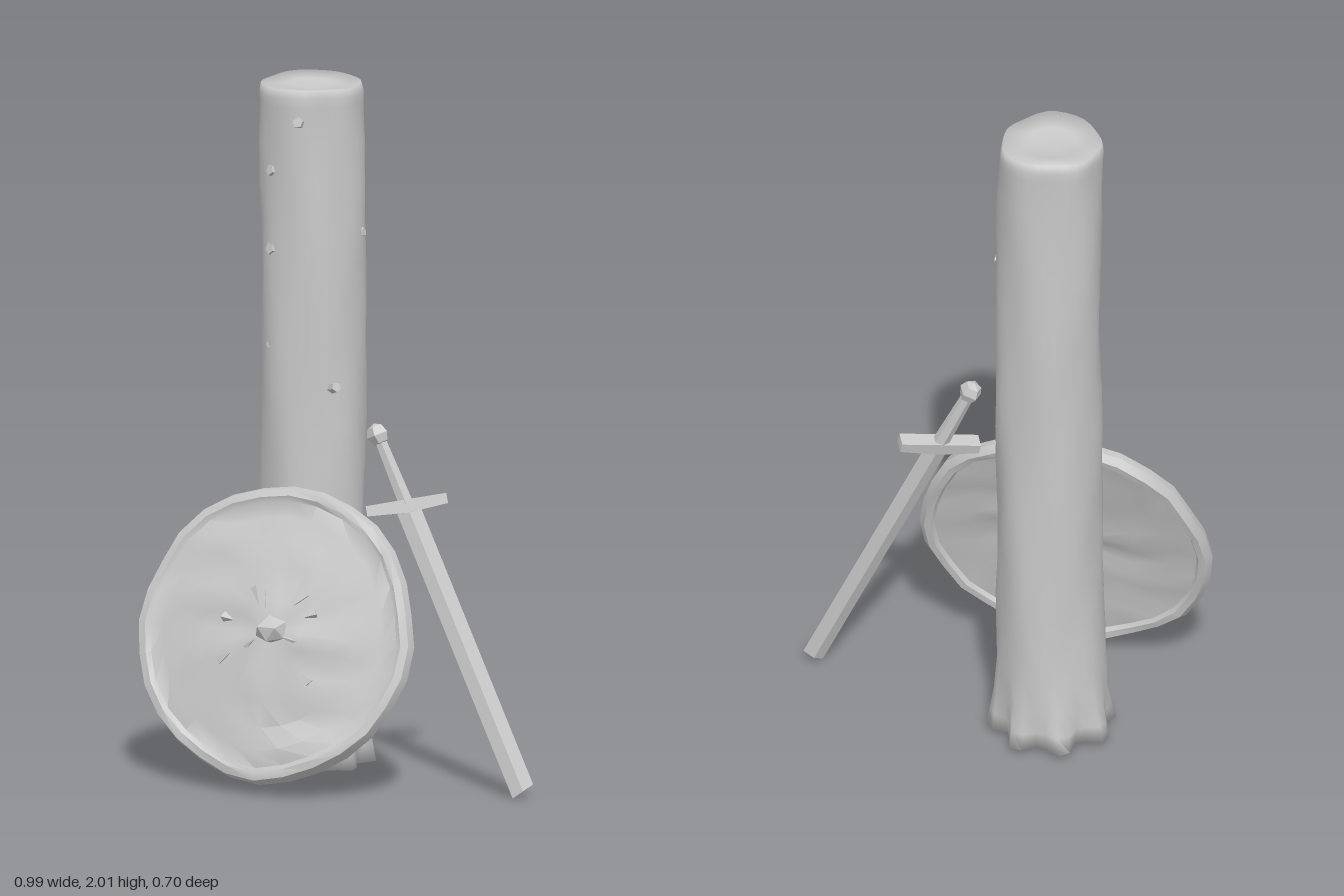
import * as THREE from 'three';
import { mergeVertices, toCreasedNormals } from 'three/addons/utils/BufferGeometryUtils.js';

const V = (x, y, z) => new THREE.Vector3(x, y, z);

export function createModel() {
  const root = new THREE.Group();
  const stone = new THREE.MeshStandardMaterial({ color: 0xc8c8c8 });
  stone.name = 'plain grey';

  // move vertices by a rule, then smooth all but the sharp edges
  function shape(geo, rule, crease = 0.8) {
    geo.deleteAttribute('uv');
    geo.deleteAttribute('normal');
    geo = mergeVertices(geo, 1e-4);
    const p = geo.attributes.position;
    const v = V(0, 0, 0);
    for (let i = 0; i < p.count; i++) {
      v.fromBufferAttribute(p, i);
      if (rule) rule(v);
      p.setXYZ(i, v.x, v.y, v.z);
    }
    return toCreasedNormals(geo, crease);
  }
  function add(parent, name, geo, pos = V(0, 0, 0)) {
    const m = new THREE.Mesh(geo, stone);
    m.name = name;
    m.position.copy(pos);
    parent.add(m);
    return m;
  }
  // group whose local x and y follow the given axes
  function frame(name, x, y, pos) {
    const g = new THREE.Group();
    const z = x.clone().cross(y).normalize();
    g.name = name;
    g.quaternion.setFromRotationMatrix(new THREE.Matrix4().makeBasis(x, y, z));
    g.position.copy(pos);
    root.add(g);
    return g;
  }

  // trunk: closed turned profile with bumps and flared root lobes
  const trunkPts = [[0, 0.01], [0.1, 0.005], [0.168, 0], [0.165, 0.05], [0.16, 0.12], [0.156, 0.22]];
  for (let i = 0; i <= 14; i++) trunkPts.push([0.153 - 0.004 * i / 14, 0.32 + i * 0.116]);
  trunkPts.push([0.15, 1.97], [0.144, 1.994], [0.08, 1.985], [0, 1.97]);
  const trunk = new THREE.LatheGeometry(trunkPts.map(([r, y]) => new THREE.Vector2(r, y)), 32);
  add(root, 'trunk', shape(trunk, v => {
    const a = Math.atan2(v.z, v.x), r = Math.hypot(v.x, v.z);
    const edge = Math.min(1, r / 0.13);
    const flare = Math.max(0, 1 - v.y / 0.25) ** 2;
    const bark = 0.02 * Math.sin(3 * a + 2.3 * v.y) + 0.018 * Math.sin(5 * a - 5 * v.y)
      + 0.016 * Math.sin(2 * a + 9 * v.y) + 0.018 * Math.sin(7 * a + 14 * v.y);
    const k = 1 + edge * (bark + flare * 0.15 * Math.cos(8 * a + 0.5));
    const lean = 0.012 * Math.sin(v.y * Math.PI / 2);
    v.x = v.x * k + lean;
    v.z *= k;
    if (v.y > 1.96) v.y += 0.004 * Math.sin(2 * a) * edge;
  }, 1.9), V(-0.265, 0, -0.15));

  // knots and twig stubs on the bark: height, heading, size, length
  const knots = [[1.9, 0.95, 0.022, 0.012], [1.12, 0.3, 0.02, 0.035], [1.56, -0.5, 0.018, 0.01],
    [1.75, 1.6, 0.022, 0.004], [1.52, 1.6, 0.025, 0.004], [1.24, 1.6, 0.022, 0.004]];
  knots.forEach(([y, a, s, len]) => {
    const d = V(Math.cos(a), 0.25, Math.sin(a)).normalize();
    const g = shape(new THREE.CylinderGeometry(s * 0.7, s, len + 0.04, 5), null, 0.4);
    const m = add(root, 'knot', g,
      V(-0.258 + 0.132 * Math.cos(a), y, -0.15 + 0.132 * Math.sin(a)).addScaledVector(d, len / 2));
    m.quaternion.setFromUnitVectors(V(0, 1, 0), d);
  });

  // shield: thin domed board with a slim rim, local y faces outward, local z points down
  const n = V(0.42, 0.29, 0.86).normalize();
  const shield = frame('shield', V(n.z, 0, -n.x).normalize(), n, V(-0.11, 0.428, 0.1));
  const shieldPts = [[0, 0.025], [0.1, 0.022], [0.2, 0.015], [0.3, 0.006], [0.385, -0.002], [0.393, -0.014],
    [0.413, -0.016], [0.43, 0.004], [0.422, 0.03], [0.4, 0.036], [0.386, 0.028],
    [0.34, 0.034], [0.27, 0.044], [0.2, 0.053], [0.1, 0.062], [0, 0.068]];
  const disc = new THREE.LatheGeometry(shieldPts.map(([r, y]) => new THREE.Vector2(r, y)), 28);
  add(shield, 'shieldBoard', shape(disc, v => {
    const a = Math.atan2(v.z, v.x), r = Math.hypot(v.x, v.z);
    const k = 1 + 0.009 * Math.sin(5 * a) + 0.007 * Math.sin(8 * a + 1);
    const grain = r < 0.38 ? 0.007 : 0.004;
    // the lower edge is warped forward
    if (r > 0.3 && v.y > 0.01) v.y += 0.03 * Math.max(0, Math.cos(a - 1.25)) ** 8;
    v.y += grain * Math.sin(v.z * 42 + 1.2 * Math.sin(v.x * 9));
    v.x *= k;
    v.z *= k;
  }, 0.7));

  // boss and the splinters around it
  add(shield, 'boss', shape(new THREE.IcosahedronGeometry(0.045, 0), v => { v.x *= 1.15; }, 0.3), V(0.01, 0.075, -0.01));
  const splinters = [[0.09, 0.02, 0.13], [-0.07, 0.05, 0.11], [-0.05, -0.1, 0.06], [0.08, -0.1, 0.06],
    [0.13, 0.12, 0.04], [-0.13, 0.08, 0.05], [-0.13, -0.03, 0.04], [0.12, -0.06, 0.04], [-0.02, -0.09, 0.05]];
  splinters.forEach(([x, z, len]) => {
    const m = add(shield, 'splinter', shape(new THREE.ConeGeometry(0.016, len, 4), null, 0.3), V(x, 0.062, z));
    m.quaternion.setFromUnitVectors(V(0, 1, 0), V(-x, 0.04, -z).normalize());
  });

  // peg behind the shield, reaching back to the trunk
  add(shield, 'backPeg', shape(new THREE.CylinderGeometry(0.016, 0.009, 0.2, 5), null, 0.5), V(0, -0.075, 0));

  // sword: local y runs from tip to pommel, local x along the guard
  const up = V(-0.443, 1.01, 0.18).normalize();
  const along = V(0.14, 0.035, -0.18);
  along.addScaledVector(up, -along.dot(up)).normalize();
  const sword = frame('sword', along, up, V(0.123, 0.805, -0.19));

  // blade of diamond section, cut off slanting where it meets the ground
  const blade = new THREE.CylinderGeometry(0.035, 0.035, 0.885, 4);
  add(sword, 'blade', shape(blade, v => {
    if (v.y < 0) v.y += 0.22 * v.x;
    v.z *= 0.4;
  }, 0.3), V(0, -0.4425, 0));

  const guard = new THREE.BoxGeometry(0.235, 0.03, 0.045, 2, 1, 1);
  add(sword, 'guard', shape(guard, v => {
    if (Math.abs(v.x) < 0.01) v.y *= 1.3;
    else v.y += 0.004;
  }, 0.4)).rotation.z = -0.22;
  add(sword, 'handle', shape(new THREE.CylinderGeometry(0.018, 0.024, 0.2, 6)), V(0, 0.105, 0));
  add(sword, 'pommel', shape(new THREE.SphereGeometry(0.034, 5, 4), null, 0.5), V(0, 0.222, 0));

  return root;
}
